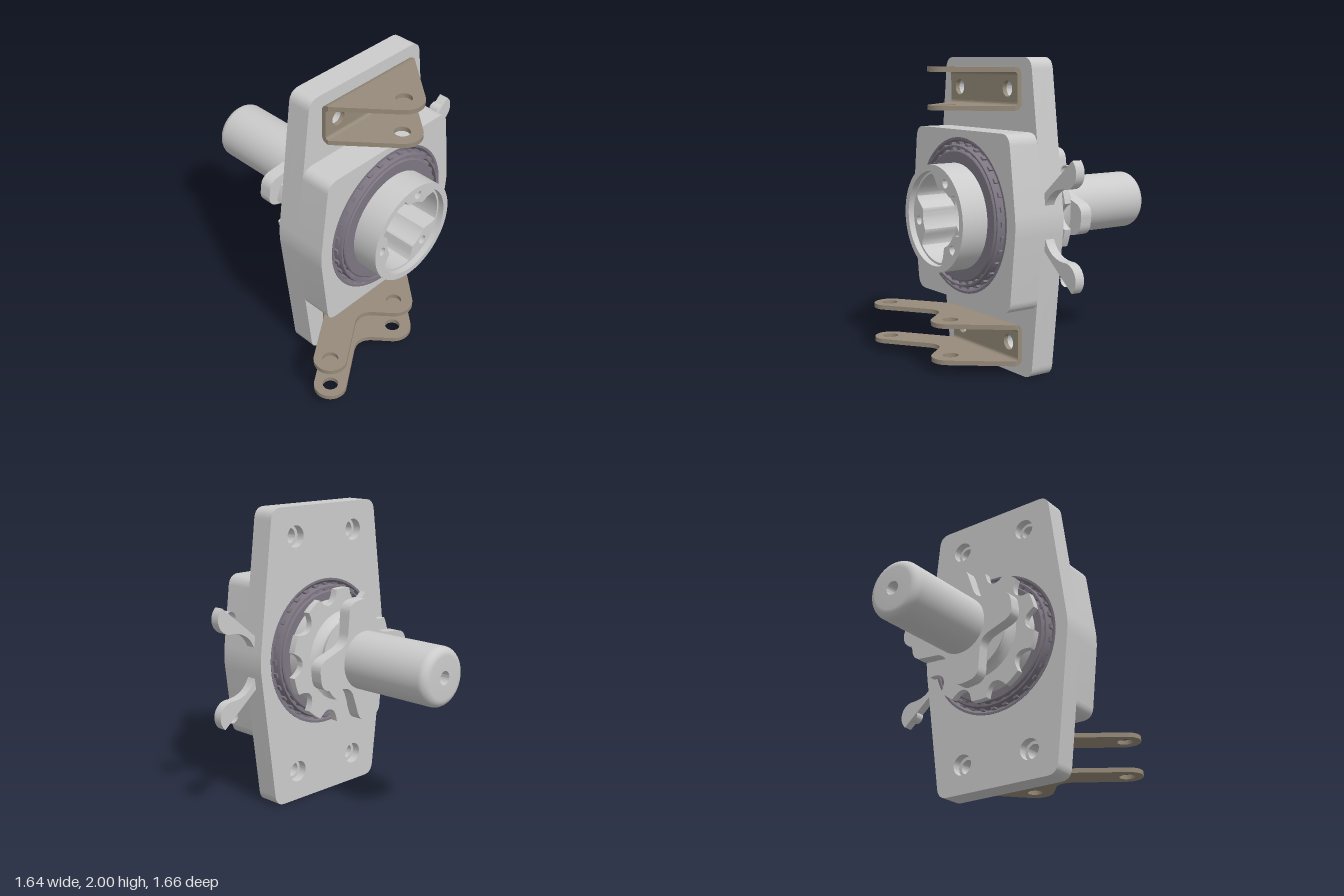
import * as THREE from 'three';
import { toCreasedNormals } from 'three/addons/utils/BufferGeometryUtils.js';

const AX = -0.05, AY = 1.0; // spindle axis
const mat = (color) => new THREE.MeshStandardMaterial({ color, side: THREE.DoubleSide });
const grey = mat(0xcccccc), bronze = mat(0x968b7a), dark = mat(0x7d7682);

function mesh(name, geo, material, parent) {
  const m = new THREE.Mesh(toCreasedNormals(geo, 0.5), material);
  m.name = name;
  parent.add(m);
  return m;
}

// Extrude an xy outline from z0 to z1
function slab(shape, z0, z1) {
  return new THREE.ExtrudeGeometry(shape, { depth: z1 - z0, bevelEnabled: false, curveSegments: 24 }).translate(0, 0, z0);
}

// Revolve [radius, z] pairs around the z axis
function turned(points, segments = 72) {
  return new THREE.LatheGeometry(points.map((p) => new THREE.Vector2(...p)), segments).rotateX(Math.PI / 2);
}

function hole(shape, x, y, r) {
  shape.holes.push(new THREE.Path().absarc(x, y, r, 0, Math.PI * 2, true));
}

// Polygon whose corners are rounded over length r
function roundedPoly(pts, r) {
  const v = pts.map((p) => new THREE.Vector2(...p)), s = new THREE.Shape(), n = v.length;
  const toward = (a, b) => a.clone().add(b.clone().sub(a).setLength(Math.min(r, a.distanceTo(b) * 0.49)));
  v.forEach((p, i) => {
    const a = toward(p, v[(i + n - 1) % n]), b = toward(p, v[(i + 1) % n]);
    if (i) s.lineTo(a.x, a.y); else s.moveTo(a.x, a.y);
    s.quadraticCurveTo(p.x, p.y, b.x, b.y);
  });
  s.closePath();
  return s;
}

const polar = (r, a) => [r * Math.cos(a), r * Math.sin(a)];

// Six-sided outline of the housing, cut off at half-height h
function hexOutline(h) {
  const k = 0.123 * h;
  return roundedPoly([
    [0.54, AY], [0.54 - k, AY + h], [-0.645 + k, AY + h],
    [-0.645, AY], [-0.645 + k, AY - h], [0.54 - k, AY - h]], 0.075);
}

function buildHousing(root) {
  const g = new THREE.Group();
  g.name = 'housing';
  root.add(g);
  // plate in two layers so the bolt holes are counterbored from the back
  for (const [z0, z1, r] of [[0.205, 0.265, 0.072], [0.265, 0.365, 0.05]]) {
    const s = hexOutline(1);
    hole(s, AX, AY, 0.5);
    for (const x of [-0.32, 0.215]) for (const y of [0.2, 1.805]) hole(s, x, y, r);
    mesh('mountingPlate', slab(s, z0, z1), grey, g);
  }
  const boss = hexOutline(0.547);
  hole(boss, AX, AY, 0.5);
  mesh('bearingBoss', slab(boss, 0.365, 0.57), grey, g);

  // side lugs, mirrored top to bottom
  const lug = new THREE.Shape();
  lug.moveTo(0.4, 1.725);
  lug.absarc(0.72, 1.325, 0.1, 0.87, -Math.PI / 2, true);
  lug.bezierCurveTo(0.62, 1.225, 0.56, 1.18, 0.53, 1.11);
  lug.lineTo(0.43, 1.11);
  lug.closePath();
  hole(lug, 0.72, 1.325, 0.045);
  for (const side of [1, -1]) {
    const m = mesh('sideLug', slab(lug, 0.275, 0.34), grey, g);
    m.scale.y = side;
    m.position.y = side > 0 ? 0 : 2.01;
  }
}

function buildBearing(parent, name, z, dir) {
  const g = new THREE.Group();
  g.name = name;
  parent.add(g);
  g.position.z = z;
  g.scale.z = dir;
  mesh('outerRace', turned([[0.465, -0.15], [0.5, -0.15], [0.5, 0.003], [0.485, 0.003], [0.465, -0.02], [0.465, -0.15]]), dark, g);
  mesh('cage', turned([[0.438, -0.1], [0.458, -0.1], [0.458, 0.012], [0.45, 0.034], [0.438, 0.034], [0.438, -0.1]]), dark, g);
  mesh('innerRace', turned([[0.33, -0.15], [0.42, -0.15], [0.42, 0.025], [0.412, 0.032], [0.33, 0.032]]), dark, g);
  mesh('rollerSeat', turned([[0.41, -0.02], [0.49, -0.02]]).scale(1, 1, 1), dark, g);
  // short bars over the rollers, on both sides of the cage
  const n = 32;
  for (let i = 0; i < n; i++) {
    const bar = mesh('cageBar', new THREE.BoxGeometry(0.055, 0.03, 0.03).translate(0.443, 0, 0), dark, g);
    bar.rotation.z = (i / n) * Math.PI * 2;
  }
}

function buildSpindle(parent) {
  // hub with open front cup and concave neck
  mesh('hub', turned([
    [0, -0.085], [0.31, -0.085], [0.282, -0.065], [0.266, -0.045], [0.26, -0.02], [0.266, 0], [0.282, 0.02], [0.31, 0.037],
    [0.36, 0.037], [0.36, 0.17], [0.34, 0.17], [0.34, 0.78], [0.3, 0.78], [0.3, 0.5], [0.19, 0.5], [0.19, 0.25], [0, 0.25]]), grey, parent);

  // cup floor with three curved pockets and three pin holes
  const floor = new THREE.Shape().absarc(0, 0, 0.302, 0, Math.PI * 2);
  const pocket = [], step = Math.PI / 60;
  for (let i = 0; i < 120; i++) {
    const d = ((i * 3 - 10 + 420) % 120) - 60; // degrees from the nearest pocket centre
    const t = THREE.MathUtils.smoothstep(40 - Math.abs(d), 0, 16);
    pocket.push(new THREE.Vector2(...polar(0.19 + 0.095 * t, i * step)));
  }
  floor.holes.push(new THREE.Path(pocket.reverse()));
  for (const deg of [70, 190, 310]) hole(floor, ...polar(0.24, THREE.MathUtils.degToRad(deg)), 0.03);
  mesh('cupFloor', slab(floor, 0.5, 0.74), grey, parent);

  // scalloped ring
  const teeth = 10, ring = [];
  for (let i = 0; i < 240; i++) {
    const a = (i / 240) * Math.PI * 2, pitch = (Math.PI * 2) / teeth;
    const off = (a % pitch) - pitch / 2;
    const dip = Math.sqrt(Math.max(0, 1 - (off / 0.17) ** 2));
    ring.push(new THREE.Vector2(...polar(0.455 - 0.08 * dip, a + pitch / 2)));
  }
  mesh('scallopedRing', slab(new THREE.Shape(ring), 0.035, 0.084), grey, parent);

  // four-armed flange
  const arms = [];
  for (let i = 0; i < 4; i++) {
    const a = (i * Math.PI) / 2 - 0.12;
    arms.push(polar(0.42, a - 0.22), polar(0.42, a + 0.22), polar(0.21, a + Math.PI / 4));
  }
  mesh('armedFlange', slab(roundedPoly(arms, 0.07), -0.165, -0.08), grey, parent);

  // shaft with rounded end and centre hole
  const end = [];
  for (let i = 0; i <= 8; i++) {
    const a = (i / 8) * Math.PI / 2;
    end.push([0.14 + 0.055 * Math.sin(a), -0.78 - 0.055 * Math.cos(a)]);
  }
  mesh('shaft', turned([[0, -0.75], [0.045, -0.75], [0.045, -0.835], ...end, [0.195, -0.1]]), grey, parent);
}

function buildBracket(root, name, y0, y1, withArm) {
  const g = new THREE.Group();
  g.name = name;
  root.add(g);
  const xl = -0.425, xr = 0.32, zb = 0.365, t = 0.03, b = 0.05, yc = (y0 + y1) / 2;

  // back web with bolt holes
  const web = new THREE.Shape();
  web.moveTo(xl, y0 + b).lineTo(xr, y0 + b).lineTo(xr, y1 - b).lineTo(xl, y1 - b).closePath();
  for (const x of [-0.32, 0.215]) hole(web, x, yc, 0.05);
  mesh('bracketWeb', slab(web, zb, zb + t), bronze, g);

  // ear outline in x and z
  const ear = new THREE.Shape();
  ear.moveTo(xl, zb + b).lineTo(xr, zb + b);
  ear.absarc(-0.053, 0.66, 0.125, 0.697, Math.PI - 0.697);
  if (withArm) {
    ear.lineTo(-0.23, 0.645);
    ear.quadraticCurveTo(-0.293, 0.568, -0.38, 0.618);
    ear.absarc(-0.72, 0.725, 0.105, 0.97, 4.11);
    ear.lineTo(-0.455, zb + b);
    hole(ear, -0.72, 0.725, 0.05);
  }
  ear.closePath();
  hole(ear, -0.053, 0.66, 0.05);

  // bent corner section in z and y
  const bend = new THREE.Shape();
  bend.moveTo(0, b).quadraticCurveTo(0, 0, b, 0).lineTo(b, t);
  bend.quadraticCurveTo(t, t, t, b).closePath();

  for (const [y, up] of [[y0, 1], [y1, -1]]) {
    const top = up > 0 ? y + t : y;
    mesh('bracketEar', slab(ear, 0, t).rotateX(Math.PI / 2).translate(0, top, 0), bronze, g);
    const m = mesh('bracketBend', slab(bend, -xr, -xl).rotateY(-Math.PI / 2), bronze, g);
    m.scale.y = up;
    m.position.set(0, y, zb);
  }
}

export function createModel() {
  const root = new THREE.Group();
  root.name = 'wheelHubUpright';
  buildHousing(root);
  const spindle = new THREE.Group();
  spindle.name = 'spindle';
  spindle.position.set(AX, AY, 0);
  root.add(spindle);
  buildSpindle(spindle);
  buildBearing(spindle, 'frontBearing', 0.57, 1);
  buildBearing(spindle, 'rearBearing', 0.205, -1);
  buildBracket(root, 'upperBracket', 1.675, 1.94, false);
  buildBracket(root, 'lowerBracket', 0.07, 0.335, true);
  return root;
}
